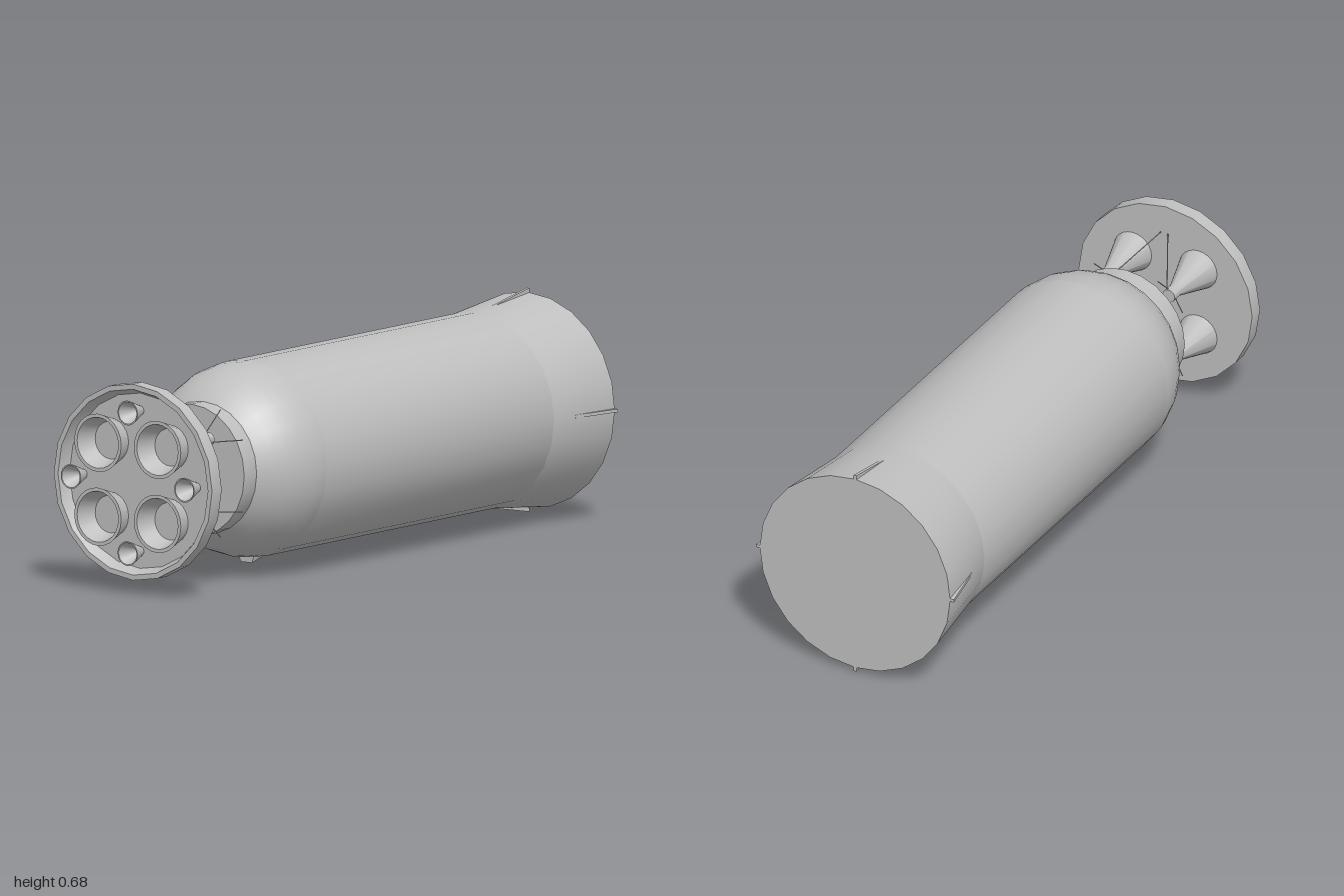
import * as THREE from 'three';
import { toCreasedNormals } from 'three/addons/utils/BufferGeometryUtils.js';

const AXIS = 0.342; // height of the stage's centre line

export function createModel() {
  const model = new THREE.Group();
  model.name = 'rocketStage';
  const grey = new THREE.MeshStandardMaterial({ color: 0xbfbfbf });
  grey.name = 'grey';

  // all parts are placed relative to the centre line
  const stage = new THREE.Group();
  stage.name = 'stage';
  stage.position.y = AXIS;
  model.add(stage);

  const add = (name, geometry, x = 0, y = 0, z = 0) => {
    const mesh = new THREE.Mesh(geometry, grey);
    mesh.name = name;
    mesh.position.set(x, y, z);
    stage.add(mesh);
    return mesh;
  };
  // turned part along z; profile points are [radius, z], rear to front
  const turned = (points, sides = 24) => {
    const profile = points.map(([r, z]) => new THREE.Vector2(r, z));
    const g = new THREE.LatheGeometry(profile, sides).rotateX(Math.PI / 2);
    return toCreasedNormals(g, 0.5);
  };
  const rod = (name, from, to, radius = 0.0018) => {
    const a = new THREE.Vector3(...from), b = new THREE.Vector3(...to);
    const dir = b.clone().sub(a);
    const mesh = add(name, new THREE.CylinderGeometry(radius, radius, dir.length(), 5));
    mesh.position.copy(a).lerp(b, 0.5);
    mesh.quaternion.setFromUnitVectors(new THREE.Vector3(0, 1, 0), dir.normalize());
  };

  // tank with hemispherical front end
  add('flaredSkirt', turned([[0, -1], [0.329, -1], [0.3, -0.735]]));
  add('tankBody', turned([[0.3, -0.735], [0.3, 0.4]]));
  const dome = [];
  for (let i = 0; i <= 12; i++) {
    const t = (i / 12) * Math.PI / 2;
    dome.push([0.3 * Math.cos(t), 0.4 + 0.3 * Math.sin(t)]);
  }
  add('tankDome', turned(dome));
  add('thrustCollar', turned([[0.19, 0.62], [0.202, 0.62], [0.202, 0.683], [0.09, 0.683]]));

  // central feed pipe
  add('feedPipe', turned([[0.045, 0.69], [0.045, 0.795], [0, 0.795]], 16));
  add('feedPipeRing', turned([[0.045, 0.762], [0.056, 0.762], [0.056, 0.77], [0.045, 0.77]], 16));

  // engine plate with a recessed front
  add('enginePlate', turned([
    [0, 0.925], [0.3, 0.925], [0.3, 0.973], [0.284, 0.973], [0.268, 0.937], [0, 0.937],
  ], 20));

  // four main engines and their struts
  const engine = turned([
    [0, 0.742], [0.021, 0.742], [0.021, 0.785], [0.089, 1], [0.078, 1], [0.057, 0.936],
  ]);
  for (const sx of [-1, 1]) {
    for (const sy of [-1, 1]) {
      add('mainEngine', engine, sx * 0.113, sy * 0.113);
      const head = [sx * 0.105, sy * 0.105, 0.78];
      rod('collarStrut', [sx * 0.195, sy * 0.11, 0.68], head);
      rod('collarStrut', [sx * 0.11, sy * 0.195, 0.68], head);
      rod('plateStrut', [sx * 0.012, sy * 0.212, 0.918], [sx * 0.1, sy * 0.11, 0.755]);
    }
  }

  // four small steering nozzles
  const vernier = turned([
    [0.014, 0.936], [0.038, 1], [0.034, 1], [0.009, 0.939], [0, 0.939],
  ], 20);

  // thin tapered fins on the skirt
  const finShape = new THREE.Shape();
  finShape.moveTo(0.3, -1);
  finShape.lineTo(0.342, -1);
  finShape.lineTo(0.31, -0.83);
  finShape.lineTo(0.3, -0.83);
  const fin = new THREE.ExtrudeGeometry(finShape, { depth: 0.01, bevelEnabled: false })
    .translate(0, 0, -0.005).rotateX(Math.PI / 2);

  for (let i = 0; i < 4; i++) {
    const a = i * Math.PI / 2;
    add('steeringNozzle', vernier, 0.215 * Math.cos(a), 0.215 * Math.sin(a));
    add('skirtFin', fin).rotation.z = a;
  }

  // cable duct along the underside, with a wider head
  const ductHead = new THREE.Shape();
  ductHead.moveTo(-0.03, -0.288);
  ductHead.lineTo(-0.022, -0.317);
  ductHead.lineTo(0.022, -0.317);
  ductHead.lineTo(0.03, -0.288);
  const headGeometry = new THREE.ExtrudeGeometry(ductHead, { depth: 0.05, bevelEnabled: false });
  const p = headGeometry.attributes.position;
  // slope the rear of the head up into the tank
  for (let i = 0; i < p.count; i++) {
    if (p.getZ(i) < 0.01 && p.getY(i) < -0.3) p.setY(i, -0.305);
  }
  headGeometry.computeVertexNormals();
  add('ductHead', headGeometry, 0, 0, 0.357);
  add('cableDuct', new THREE.BoxGeometry(0.026, 0.02, 1.14), 0, -0.295, -0.19);

  return model;
}
